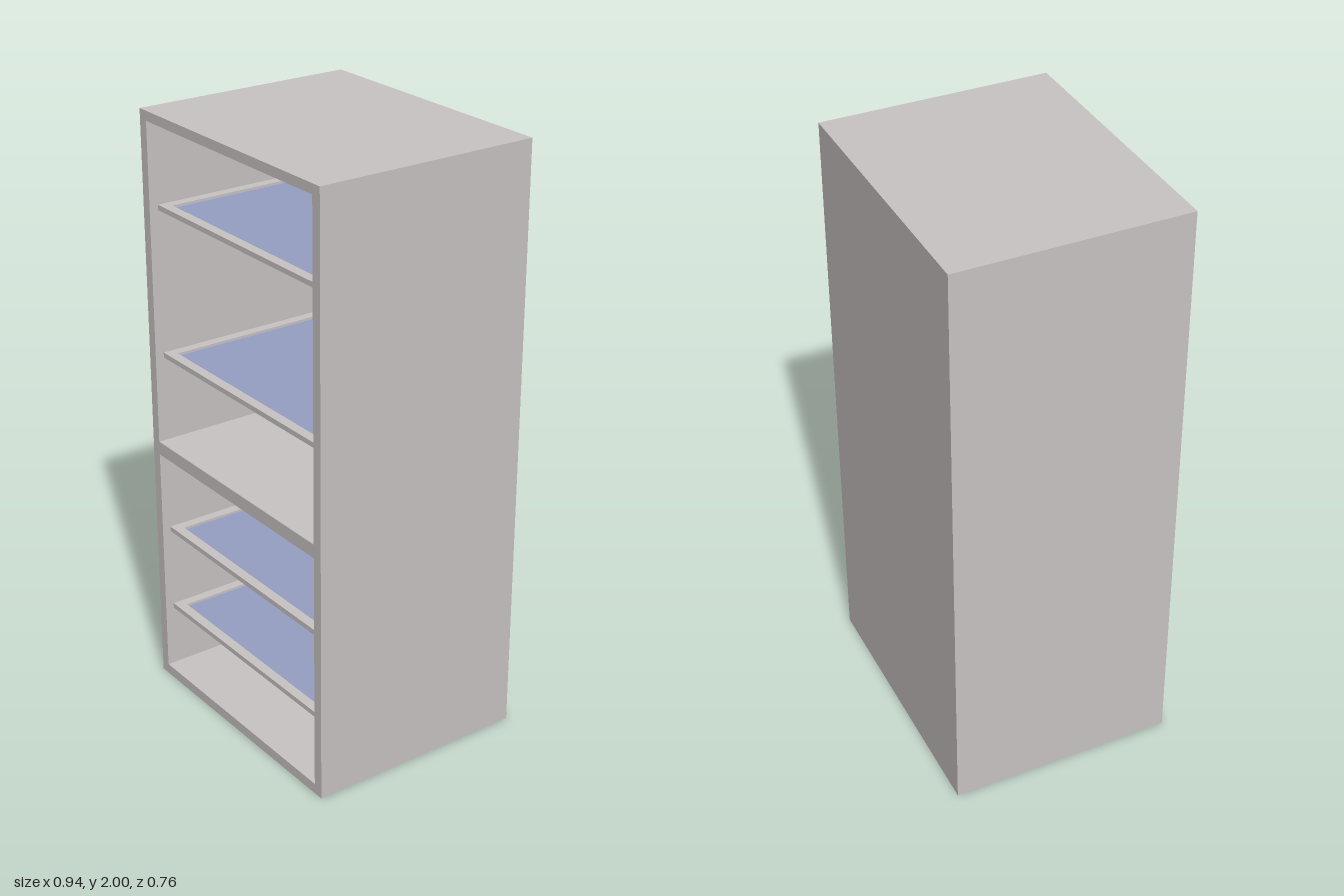
import * as THREE from 'three';

const W = 0.936, H = 2, D = 0.76;   // outer size
const IN = 0.433;                   // inner half width
const BACK = 0.017;                 // back panel thickness

// Rectangle path from two corners
function rect(path, x0, y0, x1, y1) {
  path.moveTo(x0, y0);
  path.lineTo(x1, y0);
  path.lineTo(x1, y1);
  path.lineTo(x0, y1);
  path.closePath();
  return path;
}

export function createModel() {
  const grey = new THREE.MeshStandardMaterial({ name: 'warm grey', color: 0xc9c4c3 });
  const blue = new THREE.MeshStandardMaterial({ name: 'glass blue', color: 0x969fc3 });
  const root = new THREE.Group();
  root.name = 'cabinet';

  const add = (parent, name, geometry, material, x, y, z) => {
    const mesh = new THREE.Mesh(geometry, material);
    mesh.name = name;
    mesh.position.set(x, y, z);
    parent.add(mesh);
    return mesh;
  };

  // Carcass with a lower and an upper compartment; the divider lies between them
  const outline = rect(new THREE.Shape(), -W / 2, 0, W / 2, H);
  for (const [y0, y1] of [[0.035, 0.842], [0.888, 1.968]]) {
    outline.holes.push(rect(new THREE.Path(), -IN, y0, IN, y1));
  }
  const carcass = new THREE.ExtrudeGeometry(outline, { depth: D - BACK, bevelEnabled: false });
  add(root, 'carcass', carcass, grey, 0, 0, -D / 2 + BACK);
  add(root, 'backPanel', new THREE.BoxGeometry(W, H, BACK), grey, 0, H / 2, -D / 2 + BACK / 2);

  // Framed glass shelves, set back slightly from the front
  const thick = 0.017, rim = 0.033;
  const zFront = 0.35, zBack = -D / 2 + BACK;
  const frameShape = rect(new THREE.Shape(), -IN, -zFront, IN, -zBack);
  frameShape.holes.push(rect(new THREE.Path(), -IN + rim, -zFront + rim, IN - rim, -zBack - rim));
  const frame = new THREE.ExtrudeGeometry(frameShape, { depth: thick, bevelEnabled: false });
  frame.rotateX(-Math.PI / 2);
  const glass = new THREE.BoxGeometry(2 * (IN - rim), 0.006, zFront - zBack - 2 * rim);

  for (const y of [0.251, 0.547, 1.18, 1.678]) {
    const shelf = new THREE.Group();
    shelf.name = 'shelf';
    shelf.position.y = y;
    add(shelf, 'shelfFrame', frame, grey, 0, 0, 0);
    add(shelf, 'shelfGlass', glass, blue, 0, 0.005, (zFront + zBack) / 2);
    root.add(shelf);
  }
  return root;
}
